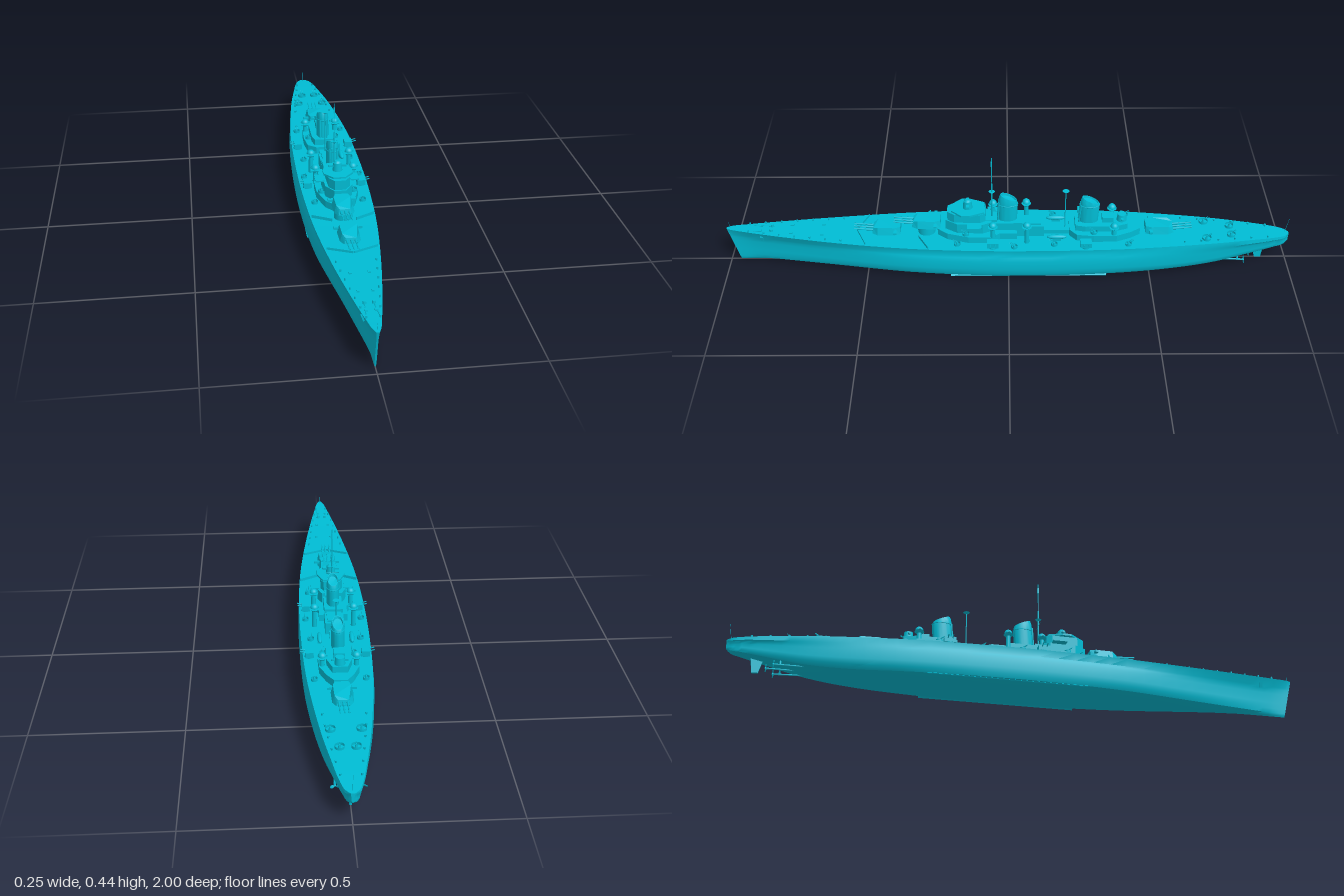
import * as THREE from 'three';
import { toCreasedNormals } from 'three/addons/utils/BufferGeometryUtils.js';

const mat = new THREE.MeshStandardMaterial({ color: 0x00bcd4, side: THREE.DoubleSide });

// Hull stations: z, deck half, waist half, bulge half, bottom half, keel y, deck y
const stations = [
  [-1, 0.006, 0.006, 0.004, 0.002, 0.078, 0.11],
  [-0.985, 0.02, 0.021, 0.016, 0.006, 0.066, 0.111],
  [-0.95, 0.033, 0.034, 0.027, 0.01, 0.058, 0.113],
  [-0.85, 0.053, 0.055, 0.048, 0.015, 0.036, 0.117],
  [-0.74, 0.072, 0.074, 0.07, 0.02, 0.014, 0.12],
  [-0.6, 0.09, 0.092, 0.092, 0.035, 0.002, 0.122],
  [-0.4, 0.109, 0.108, 0.113, 0.07, 0, 0.124],
  [-0.15, 0.118, 0.115, 0.122, 0.095, 0, 0.125],
  [0.1, 0.117, 0.113, 0.12, 0.092, 0, 0.125],
  [0.35, 0.104, 0.098, 0.103, 0.066, 0, 0.126],
  [0.6, 0.076, 0.066, 0.063, 0.03, 0, 0.129],
  [0.8, 0.046, 0.034, 0.028, 0.01, 0, 0.134],
  [0.93, 0.023, 0.013, 0.009, 0.004, 0, 0.138],
  [0.985, 0.011, 0.005, 0.004, 0.003, 0, 0.14],
  [1, 0.004, 0.003, 0.003, 0.002, 0, 0.14],
];
const lines = new THREE.CubicInterpolant(
  stations.map(s => s[0]), stations.flatMap(s => s.slice(1)), 6, new Float32Array(6));
const station = z => Array.from(lines.evaluate(z));
const deckY = z => station(z)[5];

function hullGeometry() {
  const zs = [];
  for (let i = 0; i < stations.length - 1; i++)
    for (let k = 0; k < 4; k++) zs.push(THREE.MathUtils.lerp(stations[i][0], stations[i + 1][0], k / 4));
  zs.push(1);
  const pos = [], index = [];
  let n = 0;
  zs.forEach(z => {
    const [b, w, m, f, k, d] = station(z);
    const half = [[f, 0.03], [f + (m - f) * 0.72, 0.09], [f + (m - f) * 0.94, 0.2], [m, 0.36],
      [m, 0.62], [w + (m - w) * 0.5, 0.74], [w, 0.8], [b, 1]];
    const ring = [[0, 0], ...half, [0, 1], ...half.map(([x, y]) => [-x, y]).reverse()];
    n = ring.length;
    const rake = 0.036 * THREE.MathUtils.smoothstep(z, 0.75, 1);
    ring.forEach(([x, t]) => pos.push(x, k + t * (d - k), z - rake * (1 - t)));
  });
  for (let i = 0; i < zs.length - 1; i++)
    for (let j = 0; j < n; j++) {
      const a = i * n + j, b = i * n + (j + 1) % n;
      index.push(a, b, a + n, b, b + n, a + n);
    }
  const last = (zs.length - 1) * n;
  for (let j = 1; j < n - 1; j++) index.push(0, j + 1, j, last, last + j, last + j + 1);
  const g = new THREE.BufferGeometry();
  g.setAttribute('position', new THREE.Float32BufferAttribute(pos, 3));
  g.setIndex(index);
  return toCreasedNormals(g, 0.6);
}

function add(parent, name, geo, x = 0, y = 0, z = 0) {
  const m = new THREE.Mesh(geo, mat);
  m.name = name;
  m.position.set(x, y, z);
  parent.add(m);
  return m;
}
// Box and cylinder stand on the given y
const box = (p, name, w, h, d, x, y, z) => add(p, name, new THREE.BoxGeometry(w, h, d), x, y + h / 2, z);
const cyl = (p, name, r0, r1, h, x, y, z, n = 16) => add(p, name, new THREE.CylinderGeometry(r1, r0, h, n), x, y + h / 2, z);
const both = fn => [1, -1].forEach(fn);

// Rod between two points
function rod(p, name, a, b, r, n = 8) {
  const A = new THREE.Vector3(...a), B = new THREE.Vector3(...b);
  return add(p, name, new THREE.TubeGeometry(new THREE.LineCurve3(A, B), 1, r, n));
}

// Symmetric deckhouse from half a plan outline [x, z], with the top drawn in by taper
function house(p, name, half, y0, y1, taper = 1) {
  const pts = [...half, ...half.map(([x, z]) => [-x, z]).reverse()].map(([x, z]) => new THREE.Vector2(x, -z));
  const g = new THREE.ExtrudeGeometry(new THREE.Shape(pts), { depth: y1 - y0, bevelEnabled: false });
  g.rotateX(-Math.PI / 2);
  const a = g.attributes.position;
  for (let i = 0; i < a.count; i++) if (a.getY(i) > 1e-4) a.setX(i, a.getX(i) * taper);
  g.computeVertexNormals();
  return add(p, name, g, 0, y0, 0);
}

function turret(p, name, y, z, dir) {
  const g = new THREE.Group();
  g.name = name;
  g.position.set(0, y, z);
  g.rotation.y = dir > 0 ? 0 : Math.PI;
  const body = house(g, 'gunHouse', [[0.022, 0.05], [0.034, 0.03], [0.036, -0.03], [0.027, -0.05]], 0.006, 0.034, 0.8);
  // Roof slopes down to the front
  const a = body.geometry.attributes.position;
  for (let i = 0; i < a.count; i++)
    if (a.getY(i) > 0.01 && a.getZ(i) > 0.04) a.setXYZ(i, a.getX(i), 0.02, 0.046);
  body.geometry.computeVertexNormals();
  box(g, 'rangefinder', 0.094, 0.008, 0.011, 0, 0.018, -0.032);
  for (const x of [-0.014, 0, 0.014]) {
    rod(g, 'barrelSleeve', [x, 0.017, 0.035], [x, 0.019, 0.07], 0.0042);
    rod(g, 'barrel', [x, 0.019, 0.065], [x, 0.023, 0.115], 0.0026);
  }
  p.add(g);
}

// Oval funnel with a rounded, raked top
function funnel(p, name, y0, y1, z) {
  const prof = [[1, 0], [1, 0.75], [0.96, 0.9], [0.84, 1], [0.76, 1], [0.7, 0.93], [0, 0.9]];
  const g = new THREE.LatheGeometry(prof.map(([r, t]) => new THREE.Vector2(r, t)), 28);
  const a = g.attributes.position, h = y1 - y0;
  for (let i = 0; i < a.count; i++) {
    const t = a.getY(i), zz = a.getZ(i);
    a.setXYZ(i, a.getX(i) * 0.022, t * (h - 0.012) + zz * t * t * 0.014, zz * 0.034 - t * 0.005);
  }
  add(p, name, toCreasedNormals(g, 0.6), 0, y0, z);
  both(s => rod(p, 'steamPipe', [s * 0.012, y0, z + 0.034], [s * 0.012, y1 - 0.03, z + 0.028], 0.003));
  const band = add(p, 'funnelBand', new THREE.TorusGeometry(1, 0.06, 6, 28).rotateX(Math.PI / 2), 0, y0 + h * 0.7, z - 0.003);
  band.scale.set(0.0225, 0.03, 0.0345);
}

function director(p, x, y0, y1, z) {
  cyl(p, 'directorStem', 0.009, 0.007, y1 - y0 - 0.018, x, y0, z, 12);
  cyl(p, 'directorPlatform', 0.012, 0.017, 0.005, x, y1 - 0.024, z);
  add(p, 'directorDome', new THREE.SphereGeometry(0.014, 16, 8, 0, Math.PI * 2, 0, Math.PI / 2), x, y1 - 0.014, z);
  box(p, 'directorArm', 0.034, 0.005, 0.006, x, y1 - 0.014, z);
}

function secondaryGun(p, x, z) {
  const y = deckY(z), s = Math.sign(x);
  cyl(p, 'mountBase', 0.016, 0.016, 0.006, x, y, z);
  box(p, 'mountShield', 0.028, 0.019, 0.04, x, y + 0.005, z);
  for (const dz of [-0.008, 0.008])
    rod(p, 'mountBarrel', [x, y + 0.016, z + dz], [x + s * 0.03, y + 0.024, z + dz], 0.002, 6);
}

function lightGun(p, x, y, z, r) {
  const tub = new THREE.CylinderGeometry(r, r, 0.009, 14, 1, true);
  add(p, 'gunTub', tub, x, y + 0.0045, z);
  cyl(p, 'gunPedestal', 0.005, 0.003, 0.012, x, y, z, 8);
  both(s => rod(p, 'lightBarrel', [x + s * 0.003, y + 0.012, z], [x + s * 0.003, y + 0.022, z + (z < -0.3 ? -0.016 : 0.016)], 0.0011, 5));
}

export function createModel() {
  const ship = new THREE.Group();
  ship.name = 'warship';
  add(ship, 'hull', hullGeometry());

  // Main battery on barbettes
  turret(ship, 'foreTurret', 0.124, 0.432, 1);
  cyl(ship, 'barbette', 0.031, 0.031, 0.034, 0, 0.123, 0.29, 24);
  turret(ship, 'upperForeTurret', 0.152, 0.29, 1);
  turret(ship, 'aftTurret', 0.124, -0.535, -1);

  // Forward superstructure
  house(ship, 'foreDeckhouse', [[0.022, 0.25], [0.05, 0.215], [0.072, 0.14], [0.072, 0.06], [0.05, 0.03], [0.05, -0.03]], 0.12, 0.15);
  house(ship, 'bridgeBase', [[0.02, 0.222], [0.046, 0.18], [0.05, 0.09], [0.036, 0.06]], 0.15, 0.188);
  house(ship, 'bridgeTower', [[0.018, 0.215], [0.036, 0.19], [0.039, 0.1], [0.028, 0.08]], 0.188, 0.222);
  house(ship, 'bridgeWings', [[0.02, 0.2], [0.05, 0.165], [0.05, 0.135], [0.03, 0.085]], 0.221, 0.228);
  cyl(ship, 'fireControlTower', 0.017, 0.014, 0.03, 0, 0.227, 0.143, 16);
  box(ship, 'fireControlArm', 0.06, 0.007, 0.01, 0, 0.242, 0.143);
  cyl(ship, 'fireControlCap', 0.013, 0.008, 0.006, 0, 0.257, 0.143, 16);
  box(ship, 'bridgeRear', 0.05, 0.04, 0.05, 0, 0.15, 0.065);
  both(s => box(ship, 'sidePlatform', 0.03, 0.005, 0.05, s * 0.06, 0.186, 0.12));

  // Funnels and the house between them
  box(ship, 'funnelBase', 0.064, 0.034, 0.1, 0, 0.147, 0);
  funnel(ship, 'foreFunnel', 0.15, 0.285, 0.005);
  box(ship, 'midDeckhouse', 0.066, 0.045, 0.1, 0, 0.122, -0.075);
  box(ship, 'midHouseRoof', 0.05, 0.006, 0.08, 0, 0.167, -0.075);
  box(ship, 'boatDeck', 0.04, 0.018, 0.1, 0, 0.122, -0.175);

  // Aft superstructure
  house(ship, 'aftDeckhouse', [[0.03, -0.215], [0.06, -0.24], [0.068, -0.3], [0.066, -0.38], [0.045, -0.43], [0.022, -0.465]], 0.12, 0.15);
  house(ship, 'aftUpperHouse', [[0.034, -0.235], [0.042, -0.27], [0.042, -0.37], [0.025, -0.42]], 0.15, 0.172);
  funnel(ship, 'aftFunnel', 0.165, 0.272, -0.282);
  box(ship, 'aftControlHouse', 0.036, 0.022, 0.04, 0, 0.17, -0.35);
  cyl(ship, 'aftDirector', 0.018, 0.015, 0.026, 0, 0.172, -0.4);
  box(ship, 'aftDirectorArm', 0.056, 0.006, 0.008, 0, 0.184, -0.4);

  // Fore mast with top platform, aft mast with disc
  rod(ship, 'foreMast', [0, 0.15, 0.058], [0, 0.33, 0.058], 0.003);
  rod(ship, 'foreTopmast', [0, 0.32, 0.058], [0, 0.437, 0.058], 0.0013);
  cyl(ship, 'mastPlatform', 0.004, 0.011, 0.006, 0, 0.29, 0.058);
  box(ship, 'mastAerial', 0.005, 0.02, 0.005, 0, 0.402, 0.058);
  rod(ship, 'aftMast', [0, 0.13, -0.2], [0, 0.296, -0.2], 0.0018);
  cyl(ship, 'aftMastDisc', 0.005, 0.012, 0.005, 0, 0.292, -0.2);
  rod(ship, 'mastYard', [-0.03, 0.27, 0.058], [0.03, 0.27, 0.058], 0.0007, 5);
  rod(ship, 'sternStaff', [0, 0.108, -0.985], [0, 0.17, -0.995], 0.0006, 5);
  rod(ship, 'bowStaff', [0, 0.138, 0.985], [0, 0.165, 0.99], 0.0006, 5);

  // Equipment mirrored about the centreline
  both(s => {
    director(ship, s * 0.068, 0.122, 0.212, -0.064);
    director(ship, s * 0.066, 0.148, 0.21, 0.055);
    director(ship, s * 0.056, 0.148, 0.198, -0.37);
    for (const z of [0.055, -0.27]) secondaryGun(ship, s * 0.094, z);
    for (const [x, z, r] of [[0.025, -0.79, 0.015], [0.048, -0.7, 0.016], [0.098, -0.02, 0.011], [0.085, -0.16, 0.011], [0.082, 0.18, 0.011], [0.084, -0.42, 0.011]])
      lightGun(ship, s * x, deckY(z), z, r);
    lightGun(ship, s * 0.055, 0.15, 0.15, 0.012);
    lightGun(ship, s * 0.05, 0.15, -0.3, 0.012);

    // Boats on chocks
    const boat = add(ship, 'boat', new THREE.SphereGeometry(1, 14, 8), s * 0.055, 0.138, -0.17);
    boat.scale.set(0.009, 0.009, 0.036);
    box(ship, 'boatChock', 0.014, 0.012, 0.03, s * 0.055, 0.123, -0.17);

    // Breakwaters
    for (const [z, x0, x1] of [[0.535, 0.002, 0.082], [0.315, 0.04, 0.104]]) {
      const len = Math.hypot(x1 - x0, 0.035);
      const wall = box(ship, 'breakwater', len, 0.012, 0.003, s * (x0 + x1) / 2, 0.124, z - 0.016);
      wall.rotation.y = s * Math.atan2(0.035, x1 - x0);
    }

    // Bollards, vents and hatches on the open decks
    for (let i = 0; i < 7; i++) {
      const z = 0.59 + i * 0.055, w = station(z)[0];
      cyl(ship, 'bollard', 0.003, 0.003, 0.008, s * w * 0.82, deckY(z), z, 8);
      if (i % 2) box(ship, 'hatch', 0.009, 0.006, 0.012, s * w * 0.42, deckY(z) - 0.001, z + 0.015);
    }
    for (let i = 0; i < 6; i++) {
      const z = -0.62 - i * 0.06;
      cyl(ship, 'vent', 0.003, 0.004, 0.008, s * station(z)[0] * 0.78, deckY(z), z, 8);
    }
    cyl(ship, 'capstan', 0.006, 0.005, 0.009, s * 0.014, deckY(0.84), 0.84, 12);
    rod(ship, 'anchorChain', [s * 0.014, 0.136, 0.84], [s * 0.02, 0.138, 0.915], 0.0015, 5);

    // Anchor, bilge keel, side shaft and propeller
    const anchor = box(ship, 'anchor', 0.005, 0.02, 0.01, s * 0.024, 0.1, 0.875);
    anchor.rotation.z = -s * 0.35;
    const fin = box(ship, 'bilgeKeel', 0.014, 0.003, 0.55, s * 0.106, 0.01, -0.07);
    fin.rotation.z = -s * 0.6;
    rod(ship, 'propellerShaft', [s * 0.032, 0.026, -0.6], [s * 0.042, 0.021, -0.84], 0.003);
    rod(ship, 'shaftStrut', [s * 0.042, 0.022, -0.82], [s * 0.03, 0.06, -0.82], 0.003);
    propeller(ship, s * 0.042, 0.021, -0.842);
  });
  rod(ship, 'centreShaft', [0, 0.022, -0.72], [0, 0.022, -0.865], 0.003);
  propeller(ship, 0, 0.022, -0.866);

  // Rudder
  const blade = new THREE.Shape([[0.873, 0.06], [0.918, 0.062], [0.912, 0.002], [0.89, 0.002]].map(p => new THREE.Vector2(...p)));
  const rudder = new THREE.ExtrudeGeometry(blade, { depth: 0.008, bevelEnabled: false });
  add(ship, 'rudder', rudder.translate(0, 0, -0.004).rotateY(Math.PI / 2));
  return ship;
}

// Three-bladed propeller
function propeller(p, x, y, z) {
  const g = new THREE.Group();
  g.name = 'propeller';
  g.position.set(x, y, z);
  add(g, 'hub', new THREE.SphereGeometry(0.004, 10, 6));
  for (let i = 0; i < 3; i++) {
    const b = add(g, 'blade', new THREE.SphereGeometry(1, 8, 6).scale(0.005, 0.007, 0.001).rotateY(0.5).translate(0, 0.009, 0));
    b.rotation.z = i * Math.PI * 2 / 3;
  }
  p.add(g);
}
